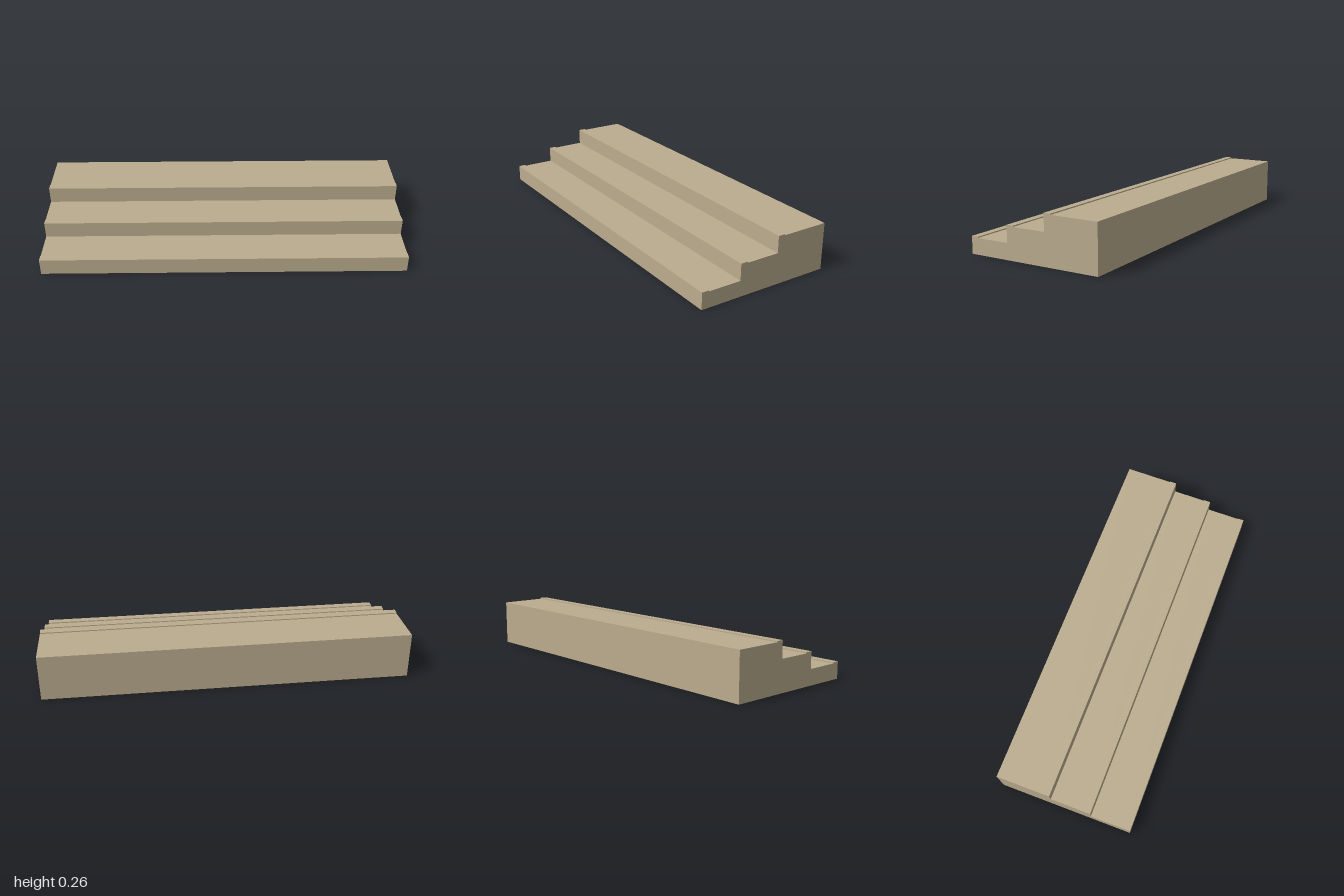
import * as THREE from 'three';

const WIDTH = 2;
const BACK = -0.375;
const NOSING = { depth: 0.039, height: 0.006 };
// Front edge (z) and tread height (y) of each step, lowest first
const STEPS = [
  { z: 0.375, y: 0.086 },
  { z: 0.15, y: 0.17 },
  { z: -0.075, y: 0.255 },
];

export function createModel() {
  const group = new THREE.Group();
  group.name = 'steps';
  const stone = new THREE.MeshStandardMaterial({ color: 0xbbac8e });
  stone.name = 'sandstone';

  // Solid stair body: side profile (drawn with x = -z) extruded across the width
  const profile = new THREE.Shape();
  profile.moveTo(-BACK, 0);
  profile.lineTo(-BACK, STEPS[STEPS.length - 1].y);
  for (let i = STEPS.length - 1; i >= 0; i--) {
    profile.lineTo(-STEPS[i].z, STEPS[i].y);
    profile.lineTo(-STEPS[i].z, i > 0 ? STEPS[i - 1].y : 0);
  }
  const bodyGeometry = new THREE.ExtrudeGeometry(profile, { depth: WIDTH, bevelEnabled: false });
  bodyGeometry.translate(0, 0, -WIDTH / 2).rotateY(Math.PI / 2);
  const body = new THREE.Mesh(bodyGeometry, stone);
  body.name = 'stairBody';
  group.add(body);

  // Raised nosing strip along the front edge of every tread
  const nosingGeometry = new THREE.BoxGeometry(WIDTH, NOSING.height, NOSING.depth);
  STEPS.forEach(({ z, y }, i) => {
    const nosing = new THREE.Mesh(nosingGeometry, stone);
    nosing.name = `nosing${i + 1}`;
    nosing.position.set(0, y + NOSING.height / 2, z - NOSING.depth / 2);
    group.add(nosing);
  });

  return group;
}
